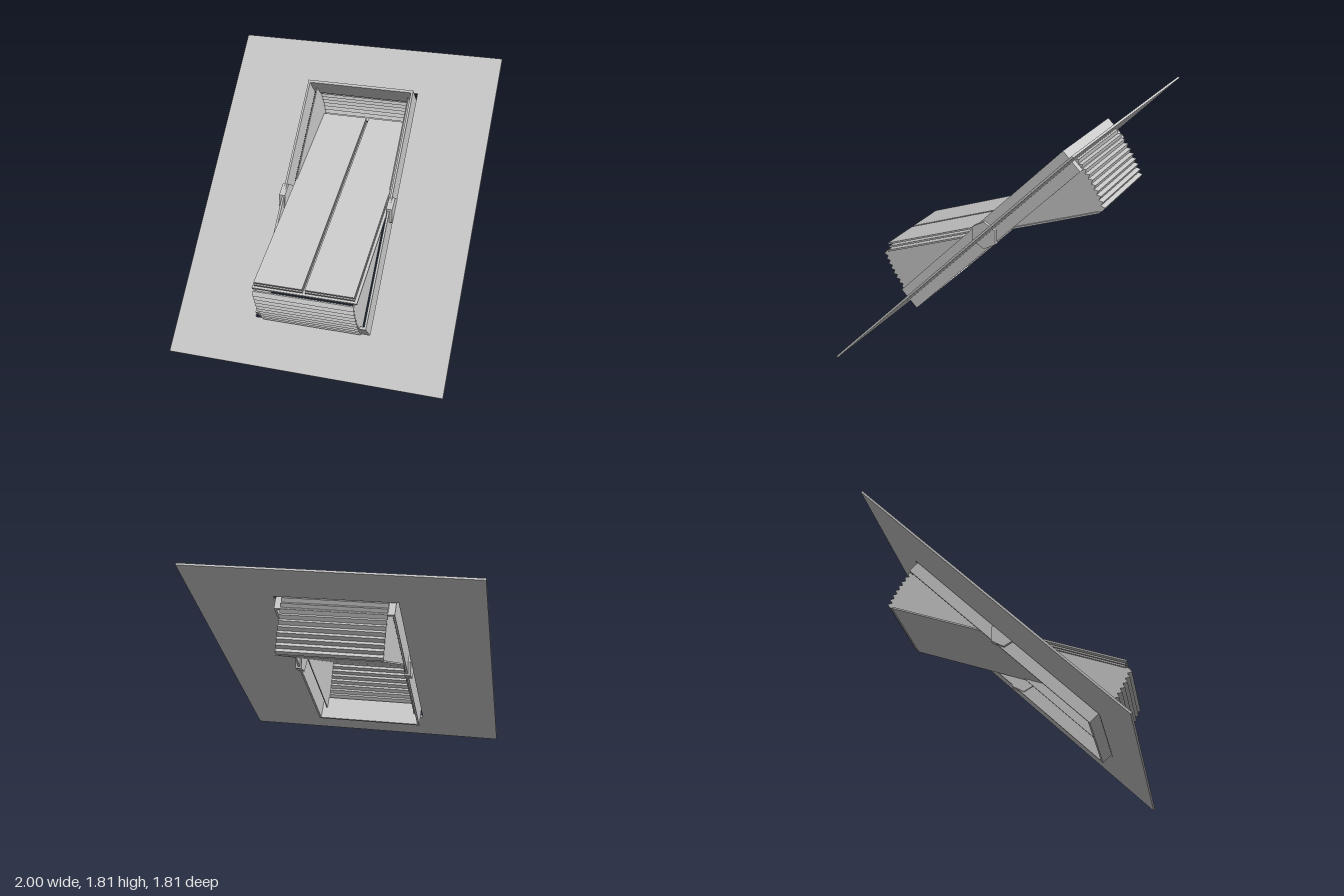
import * as THREE from 'three';

const grey = new THREE.MeshStandardMaterial({ color: 0xcccccc, flatShading: true, side: THREE.DoubleSide });
const rad = THREE.MathUtils.degToRad;

function mesh(name, geometry, parent) {
  const m = new THREE.Mesh(geometry, grey);
  m.name = name;
  parent.add(m);
  return m;
}

// A box given by its size and centre
function box(name, parent, size, centre) {
  return mesh(name, new THREE.BoxGeometry(...size).translate(...centre), parent);
}

// Extrude a shape about its own plane, centred in depth
function slab(shape, depth) {
  return new THREE.ExtrudeGeometry(shape, { depth, bevelEnabled: false }).translate(0, 0, -depth / 2);
}

function rectangle(Type, w, h) {
  return new Type([[-w, -h], [w, -h], [w, h], [-w, h]].map(([x, y]) => new THREE.Vector2(x / 2, y / 2)));
}

// A rectangular ring
function ring(w, h, holeW, holeH, depth) {
  const shape = rectangle(THREE.Shape, w, h);
  shape.holes.push(rectangle(THREE.Path, holeW, holeH));
  return slab(shape, depth);
}

// Pleated arc running from the sash (20 degrees) to the roof (45 degrees)
function pleats(inset) {
  const count = 10, points = [];
  for (let i = 0; i <= count * 2; i++) {
    const a = rad(20 + 25 * i / (count * 2));
    const r = (i % 2 ? 0.937 : 0.91) - inset;
    points.push(new THREE.Vector2(Math.cos(a) * r, Math.sin(a) * r));
  }
  return points;
}

// Folding bellows: pleated end wall and two fan-shaped cheeks
function bellows(name, turn, parent) {
  const group = new THREE.Group();
  group.name = name;
  group.rotation.y = Math.PI / 2;
  const wall = new THREE.Shape([...pleats(0), ...pleats(0.01).reverse()]);
  mesh('pleatedWall', slab(wall, 0.72).rotateZ(turn), group);
  const cheek = new THREE.Shape([new THREE.Vector2(0, 0), ...pleats(0.002)]);
  for (const side of [-1, 1]) {
    mesh('fanCheek', slab(cheek, 0.008).rotateZ(turn).translate(0, 0, side * 0.356), group);
  }
  parent.add(group);
}

export function createModel() {
  const model = new THREE.Group();
  model.name = 'pivotRoofWindow';

  // Everything is laid out around the pivot axis
  const pivot = new THREE.Group();
  pivot.name = 'pivotAssembly';
  pivot.position.y = 0.905;
  model.add(pivot);

  // Sloping roof with its opening, and the fixed frame in it
  const slope = new THREE.Group();
  slope.name = 'roof';
  slope.rotation.x = rad(-45);
  pivot.add(slope);
  mesh('roofPlane', ring(2, 2.545, 0.845, 1.85, 0.015), slope);
  mesh('fixedFrame', ring(0.81, 1.82, 0.78, 1.78, 0.178), slope);

  // Tilted sash: a wide lower panel under two layers of split panes
  const sash = new THREE.Group();
  sash.name = 'sash';
  sash.rotation.x = rad(-70);
  pivot.add(sash);
  box('lowerPanel', sash, [0.75, 1.77, 0.012], [0, 0, 0]);
  for (const height of [0.024, 0.05]) {
    for (const side of [-1, 1]) {
      box('pane', sash, [0.348, 1.75, 0.012], [side * 0.184, 0, height]);
    }
  }

  // Bellows behind the upper half and in front of the lower half
  bellows('upperBellows', 0, pivot);
  bellows('lowerBellows', Math.PI, pivot);

  // Six-sided hinges on both sides
  for (const side of [-1, 1]) {
    const hinge = new THREE.CylinderGeometry(0.104, 0.104, 0.045, 6).rotateY(Math.PI / 2);
    hinge.rotateY(Math.PI / 2).rotateX(Math.PI / 2).rotateY(Math.PI / 2);
    hinge.translate(side * 0.403, 0, 0);
    mesh('hinge', hinge, pivot);
  }
  return model;
}
